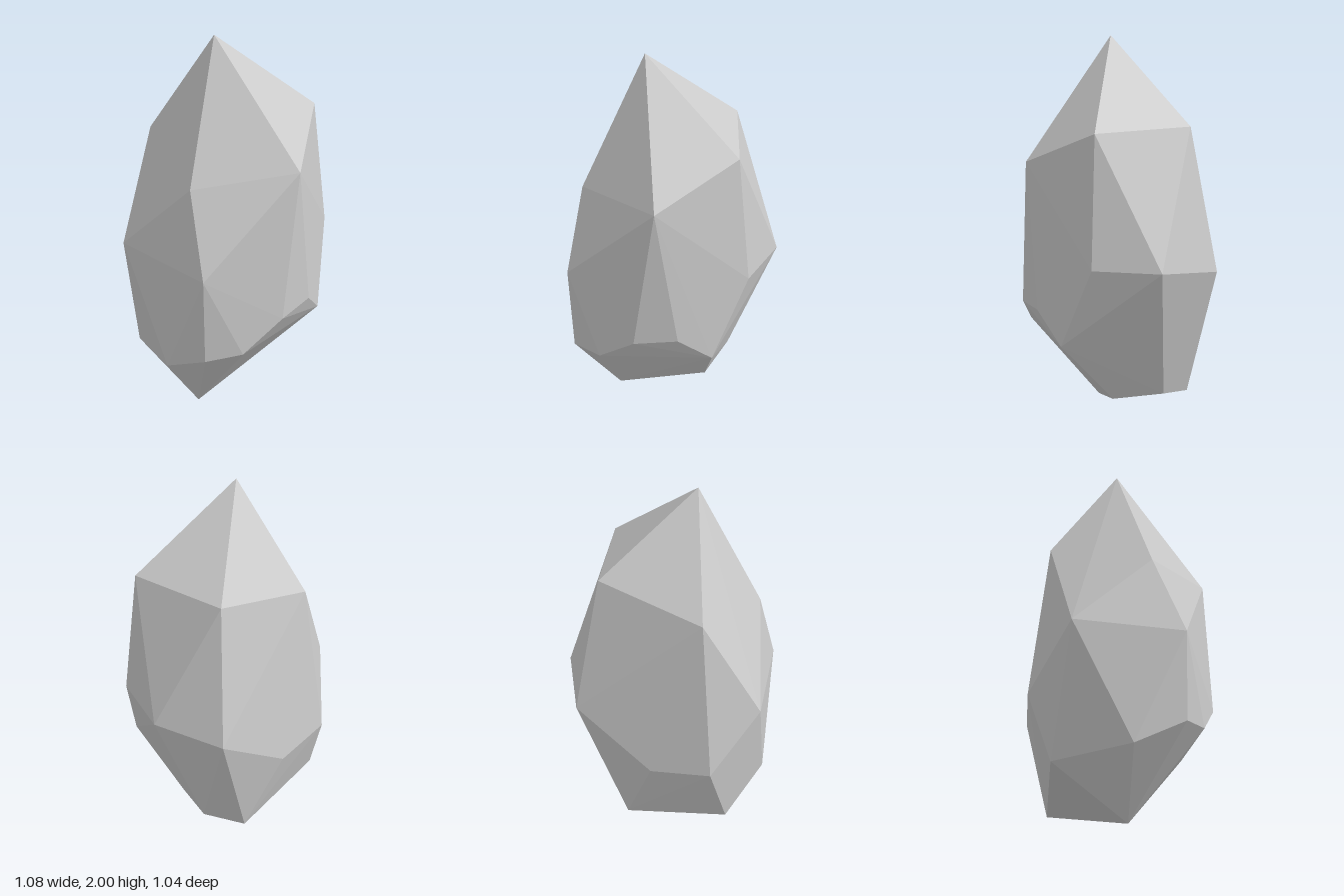
import * as THREE from 'three';
import { ConvexGeometry } from 'three/addons/geometries/ConvexGeometry.js';

// Corners of the faceted stone, from the tip down to the foot
const tip = [[-0.07, 2, 0.08]];
const shoulder = [
  [0.46, 1.59, 0.04], [0.26, 1.4, 0.44], [-0.26, 1.33, 0.35],
  [-0.34, 1.46, -0.18], [0.165, 1.59, -0.37],
];
const girdle = [
  [0.54, 0.94, 0.04], [-0.24, 0.91, 0.515], [-0.54, 0.93, 0.04],
  [0.21, 0.875, -0.52], [0.49, 0.93, -0.295],
];
const lowerRing = [
  [0.455, 0.51, 0.22], [0.35, 0.66, 0.37], [0.17, 0.64, 0.5],
  [-0.04, 0.475, 0.52], [-0.23, 0.45, 0.5], [-0.38, 0.32, 0.29],
  [-0.45, 0.26, -0.1], [-0.45, 0.62, -0.23], [-0.17, 0.58, -0.375],
];
const foot = [
  [-0.19, 0, 0.18], [0.26, 0.17, 0], [0.23, 0.21, -0.26], [0.03, 0.155, -0.35],
];

export function createModel() {
  const group = new THREE.Group();
  group.name = 'crystalRock';

  // The stone is the hull spanned by its corners
  const corners = [tip, shoulder, girdle, lowerRing, foot]
    .flat()
    .map((p) => new THREE.Vector3(...p));
  const stone = new THREE.Mesh(
    new ConvexGeometry(corners),
    new THREE.MeshStandardMaterial({ color: 0xcccccc, flatShading: true })
  );
  stone.name = 'stone';
  group.add(stone);
  return group;
}
